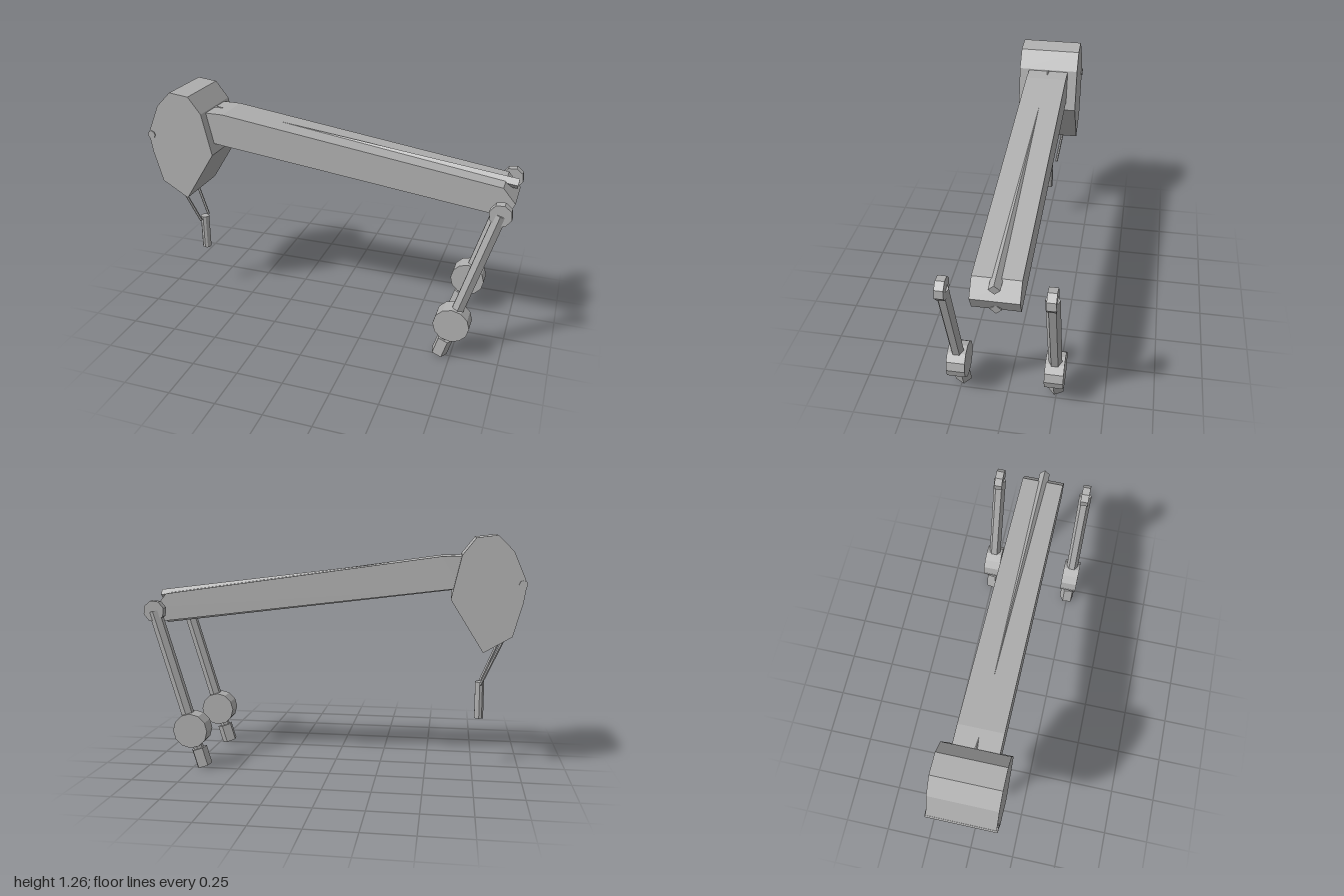
import * as THREE from 'three';

export function createModel() {
  const model = new THREE.Group();
  model.name = 'walkingBeamAssembly';
  const steel = new THREE.MeshStandardMaterial({ color: 0xb0b0b0 });
  steel.name = 'greySteel';
  steel.flatShading = true;

  const add = (parent, name, geometry) => {
    const mesh = new THREE.Mesh(geometry, steel);
    mesh.name = name;
    parent.add(mesh);
    return mesh;
  };
  // Side outline in x, y extruded evenly about z = 0
  const slab = (points, halfDepth) => {
    const shape = new THREE.Shape(points.map(([x, y]) => new THREE.Vector2(x, y)));
    return new THREE.ExtrudeGeometry(shape, { depth: halfDepth * 2, bevelEnabled: false })
      .translate(0, 0, -halfDepth);
  };
  // Disc or pin whose axis runs along z
  const disc = (radius, depth, sides) =>
    new THREE.CylinderGeometry(radius, radius, depth, sides).rotateX(Math.PI / 2);
  // Upright prism between two heights
  const prism = (radius, top, bottom, sides, start = 0) =>
    new THREE.CylinderGeometry(radius, radius, top - bottom, sides, 1, false, start)
      .translate(0, (top + bottom) / 2, 0);

  // Curved head at the end of the beam
  add(model, 'head', slab([
    [-0.789, 0.657], [-0.618, 0.93], [-0.67, 1.155], [-0.74, 1.244], [-0.848, 1.257],
    [-0.928, 1.176], [-0.997, 1.016], [-0.98, 0.91], [-0.933, 0.743],
  ], 0.167));
  add(model, 'headPin', disc(0.022, 0.346, 8)).position.set(-0.978, 1.01, 0);

  // Main beam with a pointed far end
  add(model, 'beam', slab([
    [-0.67, 0.984], [0.955, 0.782], [0.99, 0.857], [0.925, 0.934], [-0.57, 1.147], [-0.67, 1.148],
  ], 0.113));

  // Diamond-section ridges along the top and bottom of the beam
  const ridge = (name, x0, y0, x1, y1) => {
    const length = Math.hypot(x1 - x0, y1 - y0);
    const bar = add(model, name, new THREE.BoxGeometry(length, 0.039, 0.039).rotateX(Math.PI / 4));
    bar.position.set((x0 + x1) / 2, (y0 + y1) / 2, 0);
    bar.rotation.z = Math.atan2(y1 - y0, x1 - x0);
  };
  ridge('topRidge', -0.67, 1.127, 0.987, 0.92);
  ridge('bottomRidge', -0.67, 0.9985, 0.967, 0.79);

  // Hanging cables and polished rod
  for (const side of [1, -1]) {
    const path = new THREE.LineCurve3(
      new THREE.Vector3(-0.915, 0.765, side * 0.093),
      new THREE.Vector3(-0.784, 0.462, side * 0.046));
    add(model, side > 0 ? 'leftCable' : 'rightCable', new THREE.TubeGeometry(path, 1, 0.008, 6));
  }
  add(model, 'hangingRod', prism(0.025, 0.473, 0.272, 10)).position.x = -0.783;

  // Mirrored crank arms: joint, rod, counterweight, neck and foot
  const tilt = 0.287;
  for (const side of [1, -1]) {
    const arm = new THREE.Group();
    arm.name = side > 0 ? 'leftArm' : 'rightArm';
    arm.position.set(0.938, 0.855, side * 0.2465);
    arm.rotation.z = -tilt;
    add(arm, 'joint', disc(0.057, 0.043, 8));
    add(arm, 'armRod', prism(0.034, 0.0, -0.64, 6));
    const weight = add(arm, 'counterweight', disc(0.094, 0.095, 12));
    weight.position.y = -0.668;
    weight.rotation.z = tilt;
    add(arm, 'neck', prism(0.027, -0.74, -0.79, 6));
    const start = THREE.MathUtils.degToRad(90 + side * 10);
    add(arm, 'foot', prism(0.044, -0.778, -0.878, 5, start));
    model.add(arm);
  }
  return model;
}
